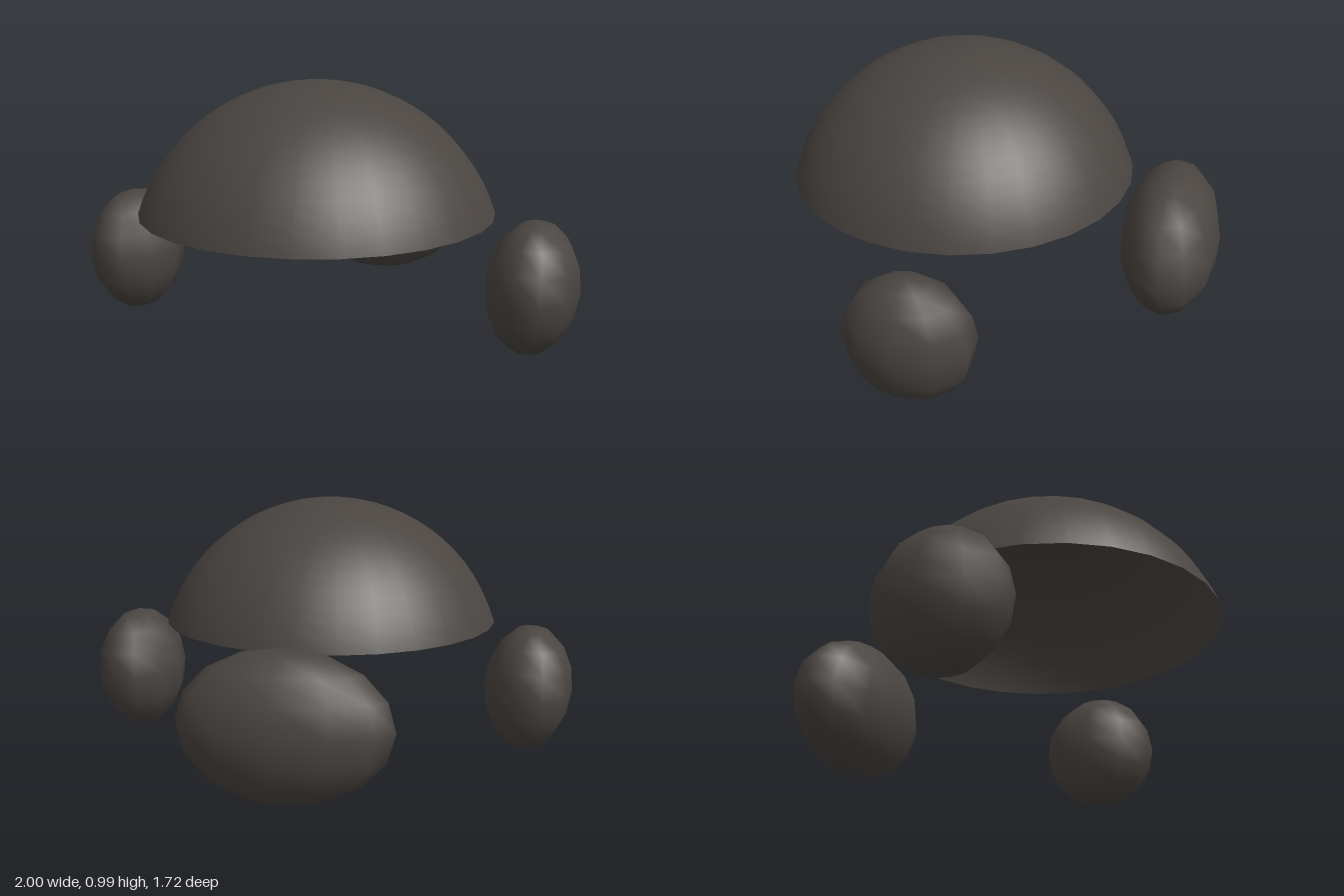
import * as THREE from 'three';

const material = new THREE.MeshStandardMaterial({ color: 0x4a4541 });

// Smooth low-poly ellipsoid lobe
function lobe(name, segments, radii, position, rotation) {
  const mesh = new THREE.Mesh(new THREE.SphereGeometry(1, segments, 8), material);
  mesh.name = name;
  mesh.scale.set(...radii);
  mesh.position.set(...position);
  mesh.rotation.set(...rotation);
  return mesh;
}

export function createModel() {
  const group = new THREE.Group();

  // Open, hollow cap cut from a sphere
  const R = 0.715;
  const shell = material.clone();
  shell.side = THREE.DoubleSide;
  const dome = new THREE.Mesh(
    new THREE.SphereGeometry(R, 28, 14, 0, Math.PI * 2, 0, Math.PI * 0.4), shell);
  dome.name = 'dome';
  dome.position.set(0, 1 - R, 0.18);
  group.add(dome);

  // Mirrored side lobes, leaning slightly
  for (const [name, s] of [['leftLobe', 1], ['rightLobe', -1]]) {
    group.add(lobe(name, 10, [0.175, 0.253, 0.245], [s * 0.825, 0.258, 0.123], [0, 0, -s * 0.05]));
  }

  // Wide lobe behind the dome
  group.add(lobe('backLobe', 12, [0.39, 0.273, 0.193], [0, 0.297, -0.672], [0.1, 0, 0]));

  return group;
}
